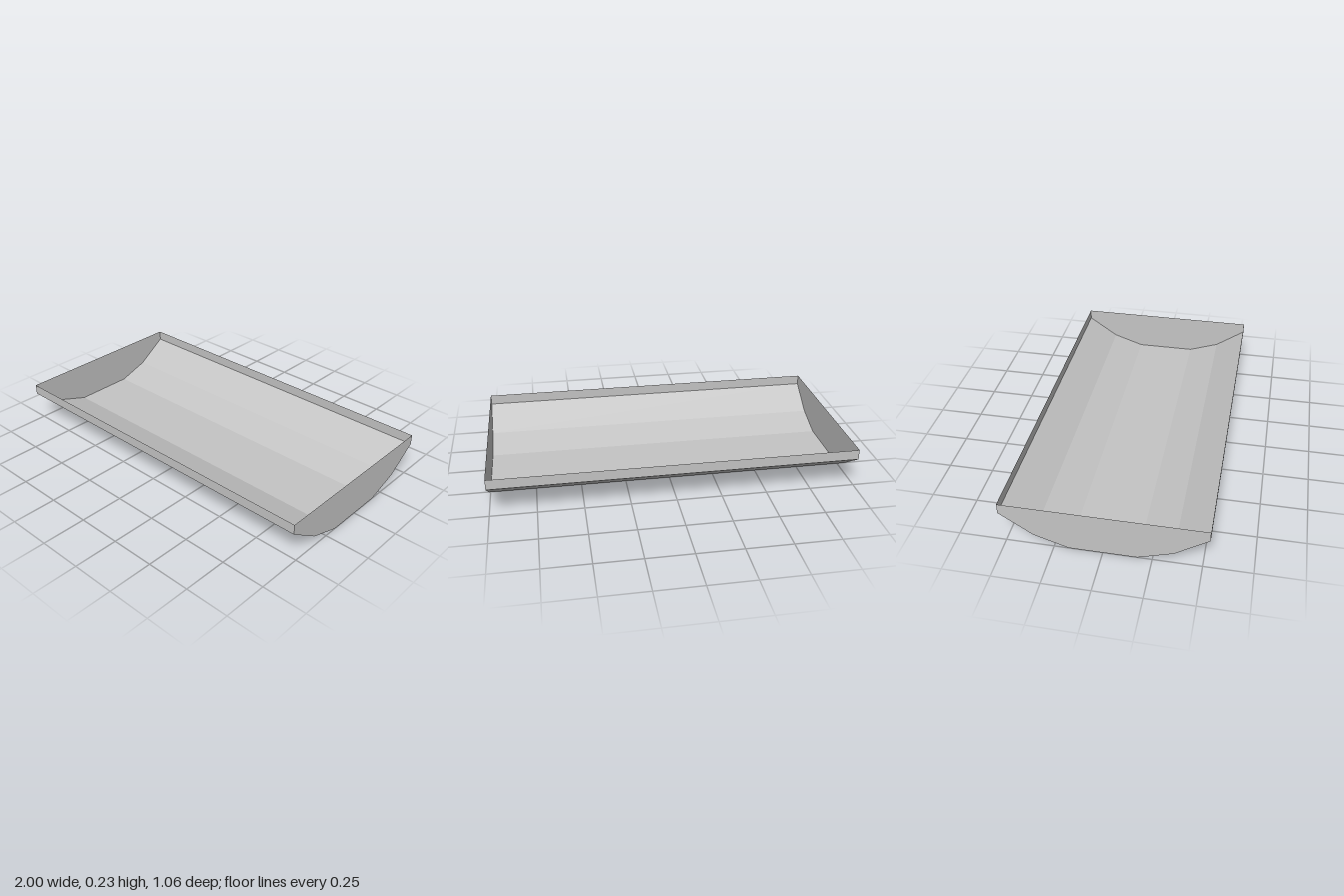
import * as THREE from 'three';

// Half cross-section of the tray (z, y), from the floor out to the rim
const half = [[0.175, 0], [0.355, 0.06], [0.53, 0.178], [0.53, 0.235]];
const profile = [...half.map(([z, y]) => [-z, y]).reverse(), ...half];
const halfLength = 1;

export function createModel() {
  const group = new THREE.Group();
  group.name = 'trough';
  const grey = new THREE.MeshStandardMaterial({ color: 0xc4c4c4, side: THREE.DoubleSide, flatShading: true });
  grey.name = 'light grey';

  const add = (name, geometry) => {
    const mesh = new THREE.Mesh(geometry, grey);
    mesh.name = name;
    group.add(mesh);
    return mesh;
  };

  // Long flat panels: rim, slopes and floor, one per profile segment
  const names = ['backRim', 'backUpperSlope', 'backLowerSlope', 'floor',
    'frontLowerSlope', 'frontUpperSlope', 'frontRim'];
  names.forEach((name, i) => {
    const [z0, y0] = profile[i];
    const [z1, y1] = profile[i + 1];
    const panel = new THREE.PlaneGeometry(2 * halfLength, Math.hypot(z1 - z0, y1 - y0));
    panel.rotateX(-Math.PI / 2 - Math.atan2(y1 - y0, z1 - z0) + Math.PI / 2 - Math.PI / 2);
    panel.translate(0, (y0 + y1) / 2, (z0 + z1) / 2);
    add(name, panel);
  });

  // Thin end walls closing the section
  const section = new THREE.Shape(profile.map(([z, y]) => new THREE.Vector2(z, y)));
  for (const side of [-1, 1]) {
    const wall = add(side > 0 ? 'leftEndWall' : 'rightEndWall', new THREE.ShapeGeometry(section));
    wall.rotation.y = side * Math.PI / 2;
    wall.position.x = side * halfLength;
  }
  return group;
}
